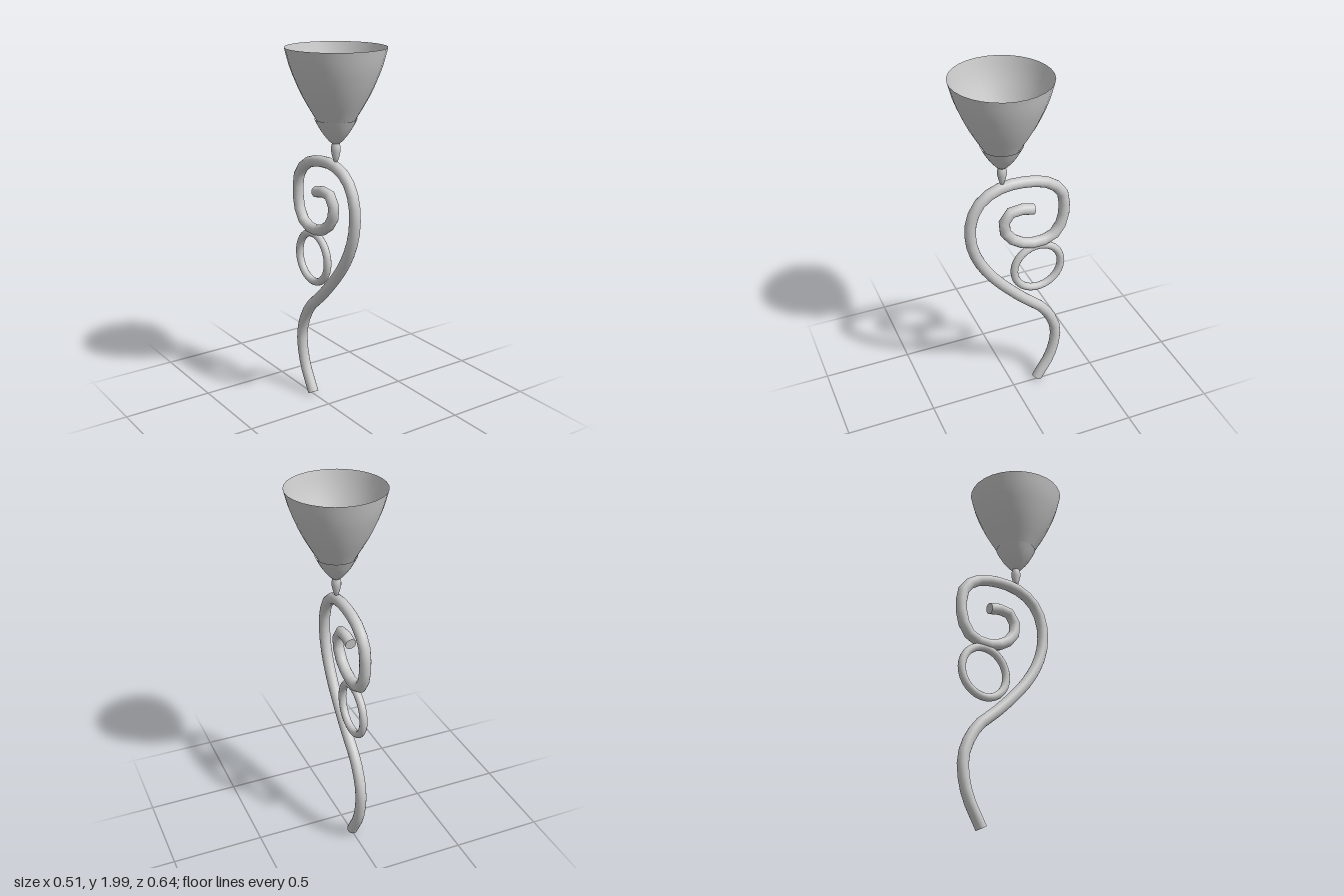
import * as THREE from 'three';

const material = new THREE.MeshStandardMaterial({ color: 0xcccccc, side: THREE.DoubleSide });
const CUP_Z = 0.065;
const TUBE_X = -0.004;
const TUBE_R = 0.03;

function addMesh(parent, name, geometry) {
  const mesh = new THREE.Mesh(geometry, material);
  mesh.name = name;
  parent.add(mesh);
  return mesh;
}

// Surface of revolution around the cup axis; profile is [radius, height] pairs
function addLathe(parent, name, profile, sides) {
  const points = profile.map(([r, y]) => new THREE.Vector2(r, y));
  const mesh = addMesh(parent, name, new THREE.LatheGeometry(points, sides));
  mesh.position.z = CUP_Z;
  return mesh;
}

export function createModel() {
  const group = new THREE.Group();
  group.name = 'scrollHolderWithCup';

  // Open flared cup
  addLathe(group, 'cup', [
    [0.06, 1.57], [0.08, 1.602], [0.102, 1.64], [0.138, 1.7], [0.169, 1.755], [0.195, 1.81],
    [0.218, 1.865], [0.236, 1.915], [0.248, 1.96], [0.258, 2.0],
  ], 30);

  // Small collar that holds the cup
  addLathe(group, 'collar', [
    [0, 1.508], [0.018, 1.513], [0.036, 1.528], [0.057, 1.553],
    [0.076, 1.58], [0.092, 1.607], [0.109, 1.64],
  ], 30);

  // Tapered bead between collar and scroll
  addLathe(group, 'bead', [
    [0, 1.415], [0.01, 1.42], [0.018, 1.445], [0.025, 1.475],
    [0.025, 1.495], [0.02, 1.515], [0.014, 1.53],
  ], 16);

  // Scroll centre line as [z, y], from the foot to the inner curl
  const path = [
    [-0.15, 0.022], [-0.235, 0.18], [-0.262, 0.335], [-0.241, 0.43], [-0.177, 0.54],
    [-0.071, 0.635], [0.029, 0.735], [0.135, 0.86], [0.209, 0.99], [0.241, 1.115],
    [0.23, 1.245], [0.172, 1.34], [0.066, 1.392], [-0.066, 1.396], [-0.188, 1.366],
    [-0.272, 1.294], [-0.291, 1.195], [-0.274, 1.09], [-0.225, 1.025], [-0.13, 1.005],
    [-0.035, 1.03], [0.034, 1.088], [0.055, 1.15], [0.034, 1.215], [-0.019, 1.236], [-0.113, 1.22],
  ].map(([z, y]) => new THREE.Vector3(TUBE_X, y, z));
  const curve = new THREE.CatmullRomCurve3(path);
  addMesh(group, 'scroll', new THREE.TubeGeometry(curve, 44, TUBE_R, 16));

  // Flat caps on the scroll ends
  [['footCap', 0, -1], ['curlCap', 1, 1]].forEach(([name, t, dir]) => {
    const cap = addMesh(group, name, new THREE.CircleGeometry(TUBE_R, 16));
    const normal = curve.getTangentAt(t).multiplyScalar(dir);
    cap.position.copy(curve.getPointAt(t));
    cap.quaternion.setFromUnitVectors(new THREE.Vector3(0, 0, 1), normal);
  });

  // Ring between the curl and the stem
  const ring = addMesh(group, 'ring', new THREE.TorusGeometry(0.138, 0.021, 12, 30));
  ring.rotation.y = Math.PI / 2;
  ring.position.set(TUBE_X, 0.842, -0.142);

  return group;
}
